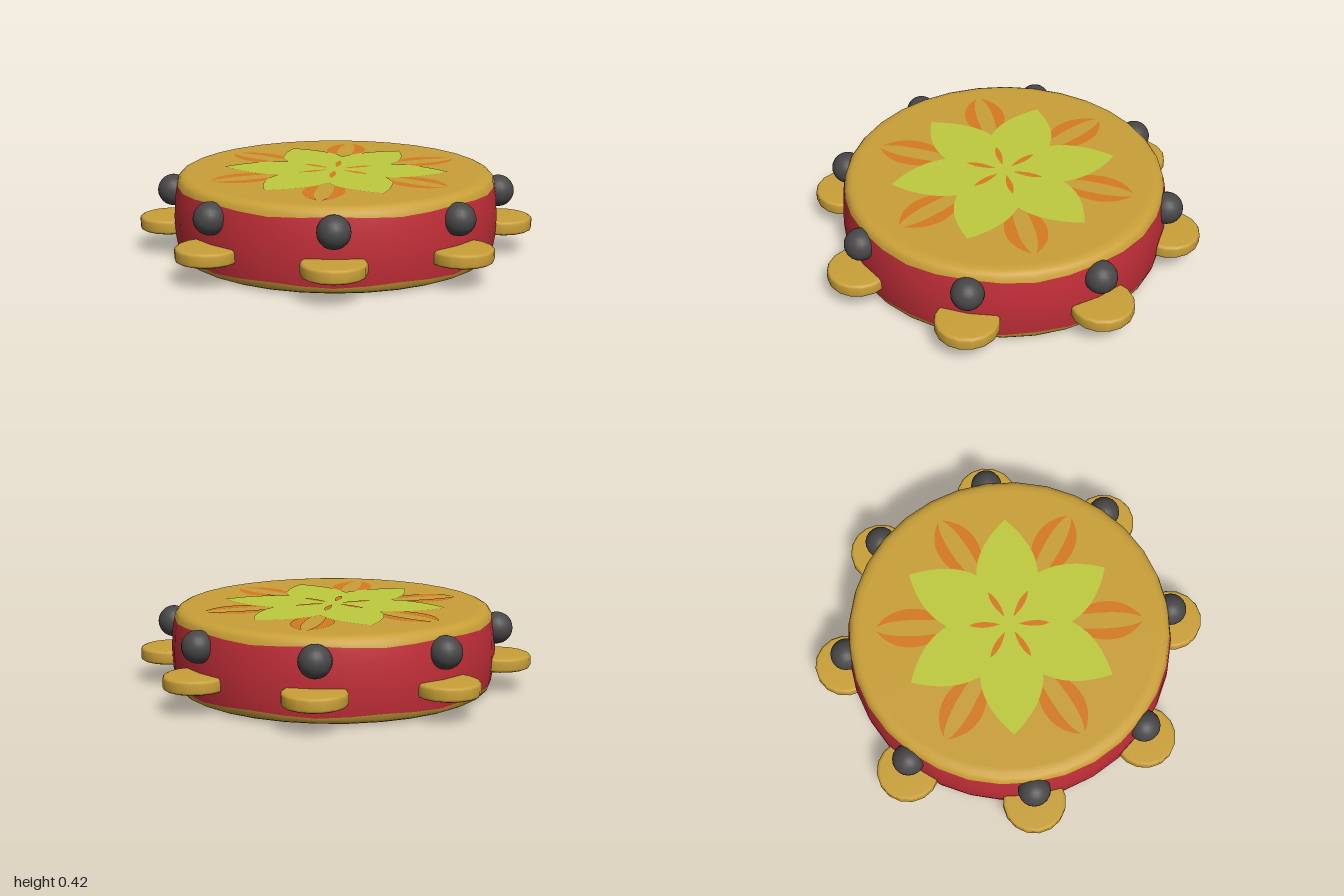
import * as THREE from 'three';

const mat = (name, color, side = THREE.FrontSide) => {
  const m = new THREE.MeshStandardMaterial({ color, side });
  m.name = name;
  return m;
};

export function createModel() {
  const gold = mat('gold', 0xcaa038);
  const red = mat('red', 0xc22e38);
  const charcoal = mat('charcoal', 0x484646);
  const green = mat('leaf green', 0xbfcb3e);
  const orange = mat('orange', 0xd67a20);

  const root = new THREE.Group();
  root.name = 'tambourine';

  const add = (parent, name, geometry, material) => {
    const mesh = new THREE.Mesh(geometry, material);
    mesh.name = name;
    parent.add(mesh);
    return mesh;
  };

  const lathe = (pts, segments) =>
    new THREE.LatheGeometry(pts.map(([x, y]) => new THREE.Vector2(x, y)), segments);

  // Shift the rings at the given height into a gentle wave
  const waveRing = (geometry, height, amount) => {
    const p = geometry.attributes.position;
    for (let i = 0; i < p.count; i++) {
      if (Math.abs(p.getY(i) - height) > 1e-4) continue;
      const a = Math.atan2(p.getX(i), p.getZ(i));
      p.setY(i, height + amount * Math.cos(8 * a));
    }
    return geometry;
  };

  // Drum body: red wall between two stretched skins
  const LOW = 0.048, HIGH = 0.372;
  const wall = lathe([[0.803, LOW], [0.814, 0.11], [0.82, 0.21], [0.814, 0.31], [0.803, HIGH]], 32);
  waveRing(wall, LOW, -0.007);
  waveRing(wall, HIGH, 0.007);
  add(root, 'wall', wall, red);

  const rim = [[0.803, HIGH], [0.797, 0.393], [0.785, 0.408], [0.765, 0.418], [0.735, 0.42], [0, 0.42]];
  add(root, 'topSkin', waveRing(lathe(rim, 32), HIGH, 0.007), gold);
  const under = rim.map(([x, y]) => [x, 0.42 - y]).reverse();
  // the lower skin mirrors the upper one
  const bottomSkin = lathe(under.map(([x, y]) => [x, y + 0.005 * (1 - y / LOW)]), 32);
  add(root, 'bottomSkin', waveRing(bottomSkin, LOW, -0.007), gold);

  // Painted flower: six-fold shapes, drawn along +x and turned about the centre
  const star = new THREE.Shape();
  const at = (radius, angle) => [radius * Math.cos(angle), radius * Math.sin(angle)];
  const SIXTH = Math.PI / 3;
  star.moveTo(...at(0.31, -SIXTH / 2));
  for (let i = 0; i < 6; i++) {
    const a = i * SIXTH;
    star.quadraticCurveTo(...at(0.45, a - 0.35), ...at(0.57, a));
    star.quadraticCurveTo(...at(0.45, a + 0.35), ...at(0.31, a + SIXTH / 2));
  }

  const crescent = (s) => {
    const c = new THREE.Shape();
    c.moveTo(0.3, s * 0.03);
    c.bezierCurveTo(0.4, s * 0.11, 0.56, s * 0.15, 0.665, s * 0.01);
    c.bezierCurveTo(0.58, s * 0.055, 0.42, s * 0.045, 0.3, s * 0.03);
    return c;
  };

  const slit = new THREE.Shape();
  slit.moveTo(0.045, 0);
  slit.quadraticCurveTo(0.14, -0.03, 0.2, 0);
  slit.quadraticCurveTo(0.14, 0.03, 0.045, 0);

  const flat = (shape, angle, y) =>
    new THREE.ShapeGeometry(shape, 10).rotateZ(angle).rotateX(-Math.PI / 2).translate(0, y, 0);

  const makeFlower = (name, y, flip) => {
    const flower = new THREE.Group();
    flower.name = name;
    add(flower, 'greenPetals', flat(star, THREE.MathUtils.degToRad(39), 0.003), green);
    for (let i = 0; i < 6; i++) {
      const a = THREE.MathUtils.degToRad(9) + i * SIXTH;
      add(flower, 'outerPetal', flat([crescent(1), crescent(-1)], a, 0.0015), orange);
      add(flower, 'centreSlit', flat(slit, a, 0.0045), orange);
    }
    flower.position.y = y;
    flower.scale.y = flip;
    root.add(flower);
  };
  makeFlower('topFlower', 0.42, 1);
  makeFlower('bottomFlower', 0.005, -1);

  // Eight jingles and studs around the wall
  const jingle = lathe([
    [0, 0], [0.14, 0], [0.151, 0.005], [0.156, 0.015],
    [0.156, 0.055], [0.151, 0.065], [0.14, 0.07], [0, 0.07],
  ], 16);
  const stud = new THREE.SphereGeometry(0.08, 20, 14);
  for (let i = 0; i < 8; i++) {
    const a = i * Math.PI / 4;
    const s = Math.sin(a), c = Math.cos(a);
    add(root, 'jingle', jingle, gold).position.set(0.844 * s, 0.115, 0.844 * c);
    add(root, 'stud', stud, charcoal).position.set(0.825 * s, 0.315, 0.825 * c);
  }

  return root;
}
